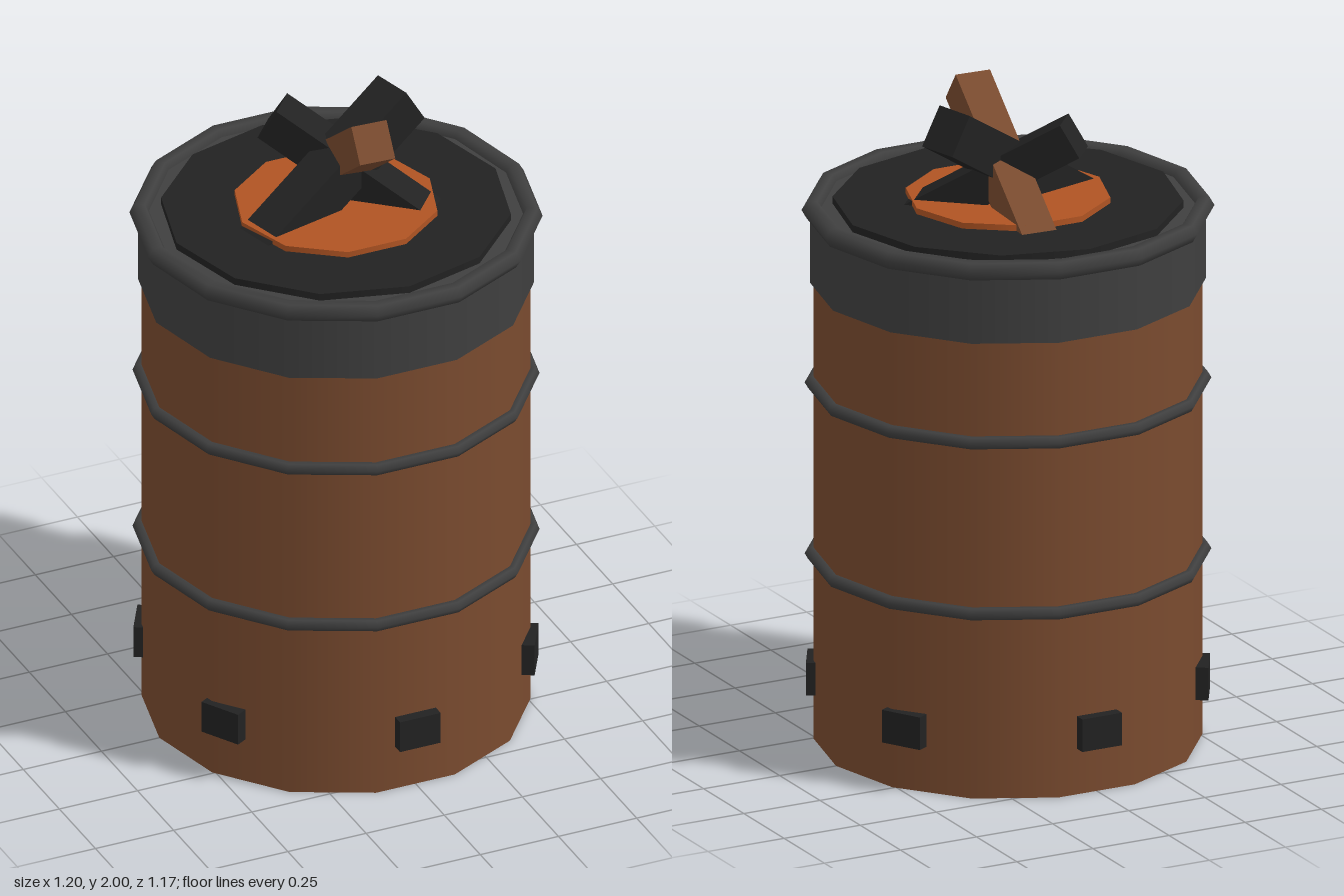
import * as THREE from 'three';

const mat = (name, color) => {
  const m = new THREE.MeshStandardMaterial({ color });
  m.name = name;
  return m;
};

export function createModel() {
  const group = new THREE.Group();
  const rust = mat('rust brown', 0x7a4b2f);
  const iron = mat('iron grey', 0x3f3f3f);
  const char = mat('charcoal', 0x222222);
  const ember = mat('ember orange', 0xb05423);

  const add = (name, geometry, material) => {
    const mesh = new THREE.Mesh(geometry, material);
    mesh.name = name;
    group.add(mesh);
    return mesh;
  };

  // Upright drum between two heights, with its first corner at the given angle
  const drum = (name, r, y0, y1, sides, material, start = 0) => {
    const g = new THREE.CylinderGeometry(r, r, y1 - y0, sides, 1, false, start);
    add(name, g, material).position.y = (y0 + y1) / 2;
  };
  drum('barrelBody', 0.565, 0, 1.6, 14, rust, Math.PI / 2);
  drum('collar', 0.575, 1.4, 1.63, 14, iron, Math.PI / 2);
  drum('ashBed', 0.51, 1.6, 1.652, 12, char);
  drum('emberBed', 0.3, 1.64, 1.67, 10, ember, Math.PI / 2);

  // Rim and hoops
  const hoop = (name, y, r, tube) => {
    const g = new THREE.TorusGeometry(r, tube, 6, 14).rotateX(-Math.PI / 2);
    add(name, g, iron).position.y = y;
  };
  hoop('rim', 1.624, 0.57, 0.03);
  hoop('upperHoop', 1.095, 0.571, 0.02);
  hoop('lowerHoop', 0.57, 0.571, 0.02);

  // Air vents around the base
  for (let i = 0; i < 6; i++) {
    const a = (i * Math.PI) / 3;
    const vent = add('vent' + (i + 1), new THREE.BoxGeometry(0.13, 0.1, 0.04), char);
    vent.position.set(Math.sin(a) * 0.565, 0.19, Math.cos(a) * 0.565);
    vent.rotation.y = a;
  }

  // Leaning logs: centre of the raised end, heading in x and z, elevation in degrees
  const log = (name, end, [dx, dz], elevation, w, h, length, material) => {
    const g = new THREE.BoxGeometry(w, h, length).translate(0, 0, -length / 2);
    const mesh = add(name, g, material);
    mesh.position.set(...end);
    mesh.rotation.order = 'YXZ';
    mesh.rotation.set(-THREE.MathUtils.degToRad(elevation), Math.atan2(dx, dz), 0);
  };
  log('sideLog', [0.243, 1.92, -0.074], [0.968, -0.25], 32, 0.13, 0.13, 0.65, char);
  log('backLog', [-0.116, 1.883, -0.19], [-0.757, -0.653], 31, 0.112, 0.112, 0.6, char);
  log('frontLog', [0.034, 1.954, 0.185], [-0.055, 0.998], 37, 0.11, 0.115, 0.64, rust);

  return group;
}
